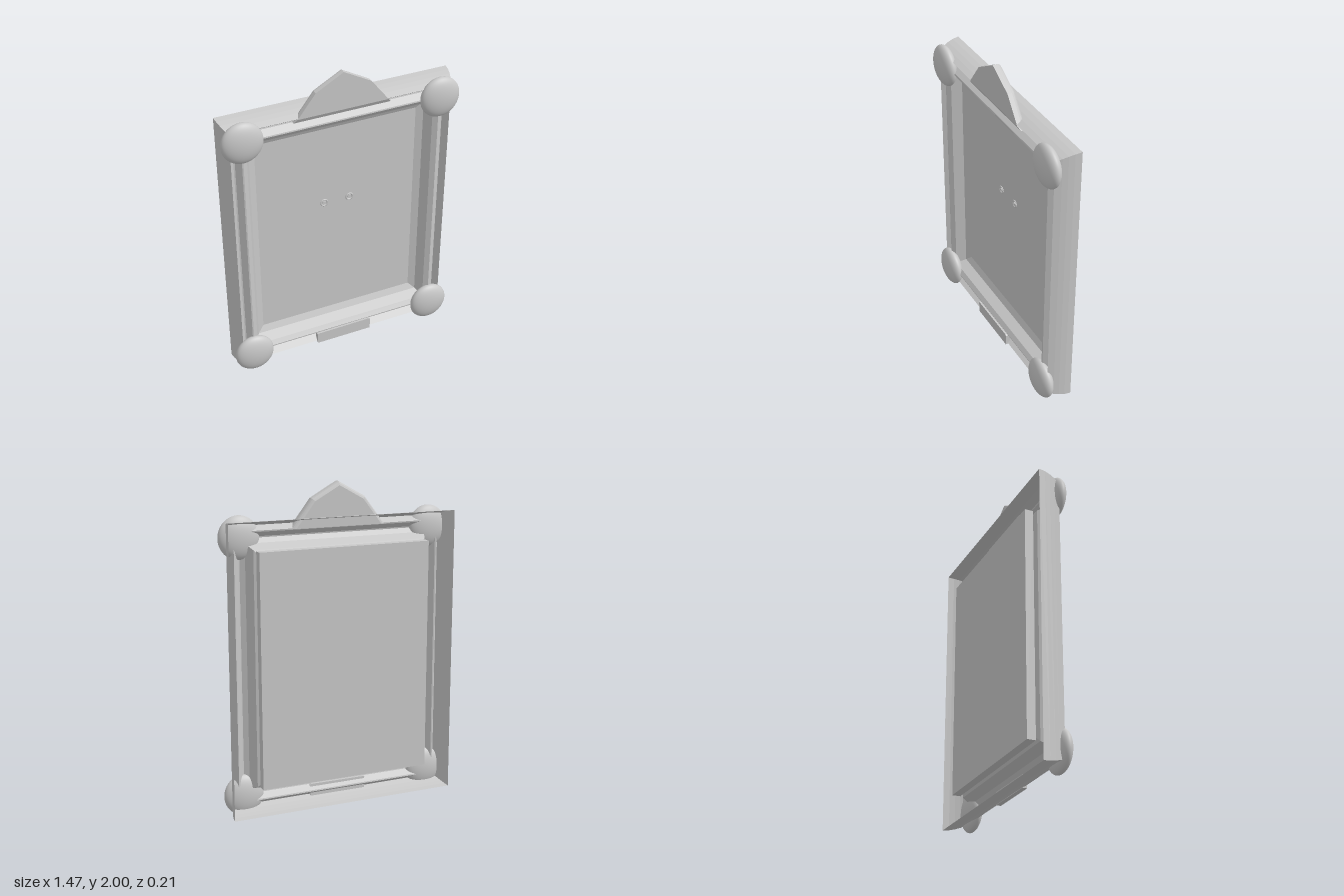
import * as THREE from 'three';

const HALF_W = 0.722, HALF_H = 0.889, MID_Y = 0.915;

// Mitred rectangular moulding swept from a profile of [inset, z] points
function mouldingGeometry(profile) {
  const corners = ([d, z]) => [[-1, -1], [1, -1], [1, 1], [-1, 1]].map(
    ([sx, sy]) => [sx * (HALF_W - d), MID_Y + sy * (HALF_H - d), z]);
  const pos = [];
  for (let i = 0; i < profile.length - 1; i++) {
    const a = corners(profile[i]), b = corners(profile[i + 1]);
    for (let k = 0; k < 4; k++) {
      const n = (k + 1) % 4;
      pos.push(...a[k], ...a[n], ...b[n], ...a[k], ...b[n], ...b[k]);
    }
  }
  const geo = new THREE.BufferGeometry();
  geo.setAttribute('position', new THREE.Float32BufferAttribute(pos, 3));
  geo.computeVertexNormals();
  return geo;
}

export function createModel() {
  const group = new THREE.Group();
  const grey = new THREE.MeshStandardMaterial({ color: 0xc8c8c8, side: THREE.DoubleSide });
  grey.name = 'plain grey';

  const add = (name, geo, x = 0, y = 0, z = 0) => {
    const mesh = new THREE.Mesh(geo, grey);
    mesh.name = name;
    mesh.position.set(x, y, z);
    group.add(mesh);
    return mesh;
  };

  // Hollow-backed frame: curved outer wall, groove, rib and inner wall
  add('frameMoulding', mouldingGeometry([
    [0, -0.095], [0.004, -0.055], [0.012, -0.02], [0.022, 0.012], [0.038, 0.05],
    [0.066, 0.01], [0.074, 0.012], [0.104, 0.048], [0.112, 0.05], [0.14, 0.03],
    [0.17, -0.03],
  ]));

  // Thick backing panel with a shallow sloping rim
  add('panelRim', mouldingGeometry([[0.17, -0.03], [0.211, -0.05]]));
  add('panel', new THREE.BoxGeometry(1.085, 1.43, 0.053), 0, MID_Y, -0.0785);

  // Domed corner bosses
  for (const sx of [-1, 1]) {
    for (const y of [0.13, 1.698]) {
      const boss = add('cornerBoss', new THREE.SphereGeometry(0.125, 40, 28), sx * 0.612, y, 0.052);
      boss.scale.set(1, 1.035, 0.42);
    }
  }

  // Pointed crest, with a bevelled foot and rounded off towards the back.
  // Layers are [scale, z, foot lift]
  const outline = [[-0.3, 1.735], [0.3, 1.735], [0.17, 1.905], [0, 2], [-0.17, 1.905]];
  const layers = [[1, 0.05, 0.026], [1, 0.036, 0], [1, 0.022, 0], [0.985, 0.01, 0],
    [0.955, 0.002, 0], [0.91, -0.002, 0]];
  const ring = ([s, z, lift]) => outline.map(([x, y], i) => {
    const up = i < 2 ? lift : 0;
    return [(x - Math.sign(x) * up * 0.76) * s, 1.735 + (y + up - 1.735) * s, z];
  });
  const pos = [];
  for (let i = 0; i < layers.length - 1; i++) {
    const a = ring(layers[i]), b = ring(layers[i + 1]);
    for (let k = 0; k < 5; k++) {
      const n = (k + 1) % 5;
      pos.push(...a[k], ...b[k], ...b[n], ...a[k], ...b[n], ...a[n]);
    }
  }
  const front = ring(layers[0]), back = ring(layers[layers.length - 1]);
  for (let k = 1; k < 4; k++) {
    pos.push(...front[0], ...front[k], ...front[k + 1]);
    pos.push(...back[0], ...back[k + 1], ...back[k]);
  }
  const crest = new THREE.BufferGeometry();
  crest.setAttribute('position', new THREE.Float32BufferAttribute(pos, 3));
  crest.computeVertexNormals();
  add('crest', crest);

  // Small plate on the lower rail
  const plate = new THREE.Shape();
  plate.moveTo(-0.183, 0.053);
  plate.lineTo(0.183, 0.053);
  plate.lineTo(0.186, 0.128);
  plate.lineTo(0.176, 0.134);
  plate.lineTo(-0.186, 0.131);
  plate.closePath();
  add('plate', new THREE.ExtrudeGeometry(plate, { depth: 0.03, bevelEnabled: false }), 0, 0, 0.032);

  // Two small ringed studs on the panel
  for (const sx of [-1, 1]) {
    add('studRing', new THREE.TorusGeometry(0.021, 0.005, 8, 20), sx * 0.083, 1.07, -0.051);
    const stud = add('studCentre', new THREE.CylinderGeometry(0.011, 0.011, 0.008, 12), sx * 0.083, 1.07, -0.05);
    stud.rotation.x = Math.PI / 2;
  }

  return group;
}
